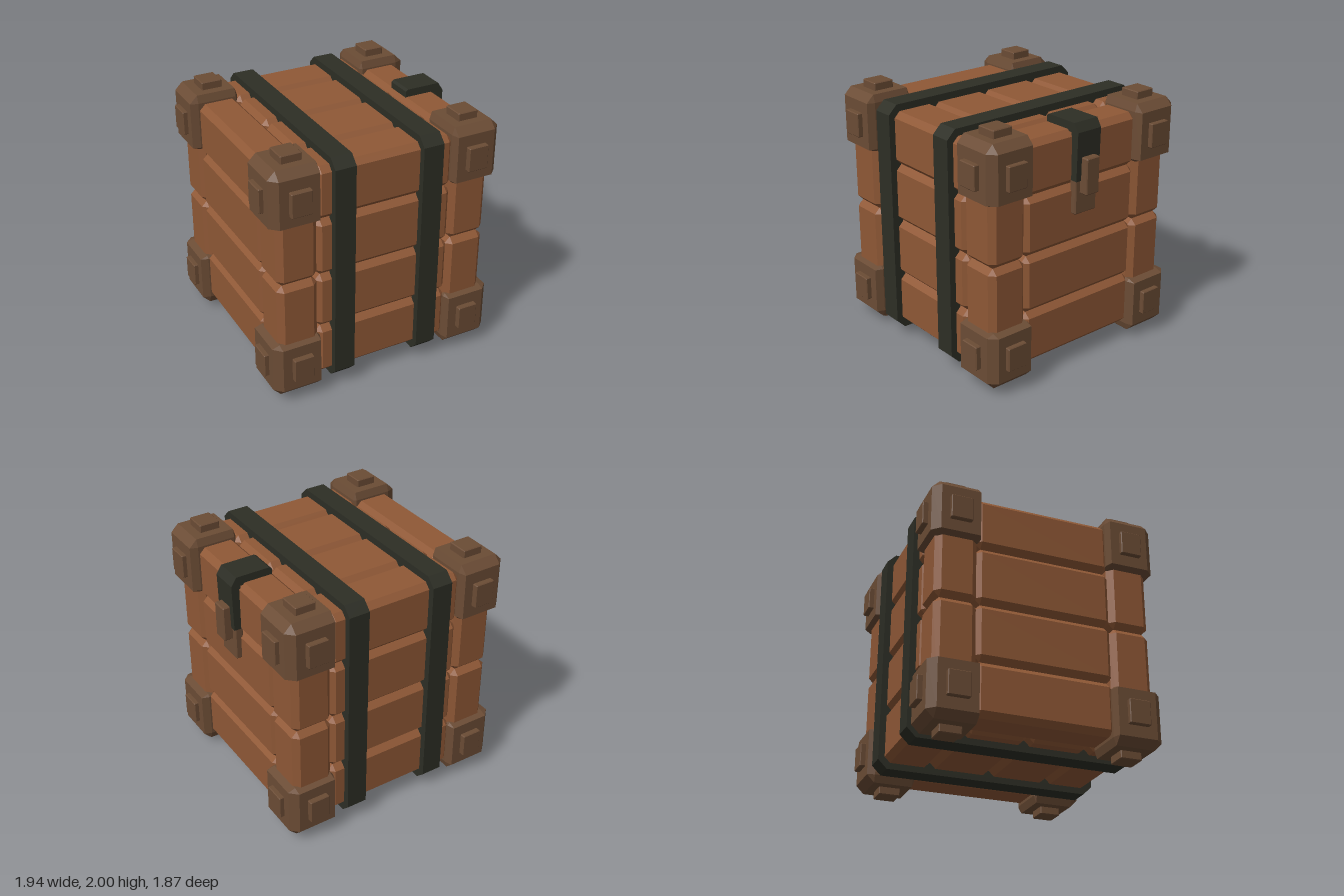
import * as THREE from 'three';
import { ConvexGeometry } from 'three/addons/geometries/ConvexGeometry.js';

const material = (name, color) => {
  const m = new THREE.MeshStandardMaterial({ color });
  m.name = name;
  return m;
};

// Box between two corners; every side has its own chamfer inset.
function chamferedBox(min, max, insetMin, insetMax = insetMin) {
  const points = [];
  for (let corner = 0; corner < 8; corner++) {
    const high = [0, 1, 2].map((axis) => (corner >> axis) & 1);
    for (let face = 0; face < 3; face++) {
      points.push(new THREE.Vector3(...high.map((h, axis) => {
        if (axis === face) return h ? max[axis] : min[axis];
        return h ? max[axis] - insetMax[axis] : min[axis] + insetMin[axis];
      })));
    }
  }
  return new ConvexGeometry(points);
}

export function createModel() {
  const wood = material('wood', 0x8f5836);
  const bracket = material('bracket brown', 0x6b4c35);
  const band = material('dark band', 0x2d2e25);

  const model = new THREE.Group();
  model.name = 'crate';
  const body = new THREE.Group();
  body.name = 'crateBody';
  body.position.x = -0.01;
  model.add(body);

  const add = (parent, name, geometry, mat) => {
    const mesh = new THREE.Mesh(geometry, mat);
    mesh.name = name;
    parent.add(mesh);
    return mesh;
  };
  // Sorts the ends of each axis, so mirrored ranges can be passed directly.
  const block = (parent, name, xs, ys, zs, inset, mat) => {
    const ranges = [xs, ys, zs].map((r) => [Math.min(...r), Math.max(...r)]);
    return add(parent, name, chamferedBox(ranges.map((r) => r[0]), ranges.map((r) => r[1]),
      [inset, inset, inset]), mat);
  };

  // Long planks around the front, back, top and bottom
  const levels = [0.13, 0.55, 1.0, 1.46, 1.875];
  const rows = [-0.84, -0.48, 0, 0.48, 0.84];
  for (let i = 0; i < 4; i++) {
    for (let j = 0; j < 4; j++) {
      if (i % 3 && j % 3) continue; // hollow inside
      block(body, 'longPlank', [-0.56, 0.56], [levels[i], levels[i + 1]],
        [rows[j], rows[j + 1]], 0.045, wood);
    }
  }

  for (const sx of [-1, 1]) {
    // Cross planks on both ends
    for (let i = 0; i < 4; i++) {
      block(body, 'endPlank', [sx * 0.55, sx * 0.86], [levels[i], levels[i + 1]],
        [-0.54, 0.54], 0.045, wood);
    }

    for (const sz of [-1, 1]) {
      // Corner posts in two halves
      for (const ys of [[0.13, 1.0], [1.0, 1.87]]) {
        block(body, 'cornerPost', [sx * 0.545, sx * 0.868], ys,
          [sz * 0.525, sz * 0.85], 0.045, wood);
      }

      // Corner brackets with a stud on each outer face
      for (const sy of [-1, 1]) {
        const corner = new THREE.Group();
        corner.name = 'cornerBracket';
        corner.position.y = 1;
        body.add(corner);
        const signs = [sx, sy, sz];
        const inner = [0.537, 0.49, 0.51];
        const outer = [0.925, 0.94, 0.895];
        const near = signs.map((s, a) => s * inner[a]);
        const far = signs.map((s, a) => s * outer[a]);
        add(corner, 'bracket', chamferedBox(
          signs.map((s, a) => Math.min(near[a], far[a])),
          signs.map((s, a) => Math.max(near[a], far[a])),
          signs.map((s) => (s < 0 ? 0.06 : 0.02)),
          signs.map((s) => (s < 0 ? 0.02 : 0.06)),
        ), bracket);

        const studLow = [0.63, 0.6, 0.602];
        const studHigh = [0.793, 0.79, 0.77];
        const studTop = [0.962, 1.0, 0.937];
        for (let face = 0; face < 3; face++) {
          const r = signs.map((s, a) => (a === face
            ? [s * (outer[a] - 0.03), s * studTop[a]]
            : [s * studLow[a], s * studHigh[a]]));
          block(corner, 'stud', r[0], r[1], r[2], 0.006, bracket);
        }
      }
    }
  }

  // Bands wrapped around the crate
  const ring = (PathType, z, low, high, c) => {
    const path = new PathType();
    path.setFromPoints([
      [-z + c, low], [z - c, low], [z, low + c], [z, high - c],
      [z - c, high], [-z + c, high], [-z, high - c], [-z, low + c], [-z + c, low],
    ].map((p) => new THREE.Vector2(...p)));
    return path;
  };
  const bandShape = ring(THREE.Shape, 0.89, 0.08, 1.93, 0.07);
  bandShape.holes.push(ring(THREE.Path, 0.8, 0.17, 1.84, 0.04));
  const bandGeometry = new THREE.ExtrudeGeometry(bandShape, { depth: 0.165, bevelEnabled: false });
  bandGeometry.translate(0, 0, -0.0825);
  bandGeometry.rotateY(Math.PI / 2);
  for (const sx of [-1, 1]) {
    add(body, 'band', bandGeometry, band).position.x = sx * 0.355;
  }

  // Latch: bent strap over the edge, hanging plate and clasp
  const latch = new THREE.Group();
  latch.name = 'latch';
  model.add(latch);
  const strapShape = new THREE.Shape([
    [0.58, 1.86], [0.84, 1.86], [0.84, 1.5], [0.905, 1.5],
    [0.912, 1.87], [0.87, 1.935], [0.6, 1.935], [0.58, 1.92],
  ].map((p) => new THREE.Vector2(...p)));
  const strapGeometry = new THREE.ExtrudeGeometry(strapShape, { depth: 0.22, bevelEnabled: false });
  strapGeometry.translate(0, 0, -0.11);
  add(latch, 'latchStrap', strapGeometry, band);
  block(latch, 'latchPlate', [0.83, 0.895], [1.24, 1.53], [-0.1, 0.105], 0.008, bracket);
  block(latch, 'latchClasp', [0.87, 0.965], [1.4, 1.68], [-0.06, 0.065], 0.008, bracket);

  return model;
}
